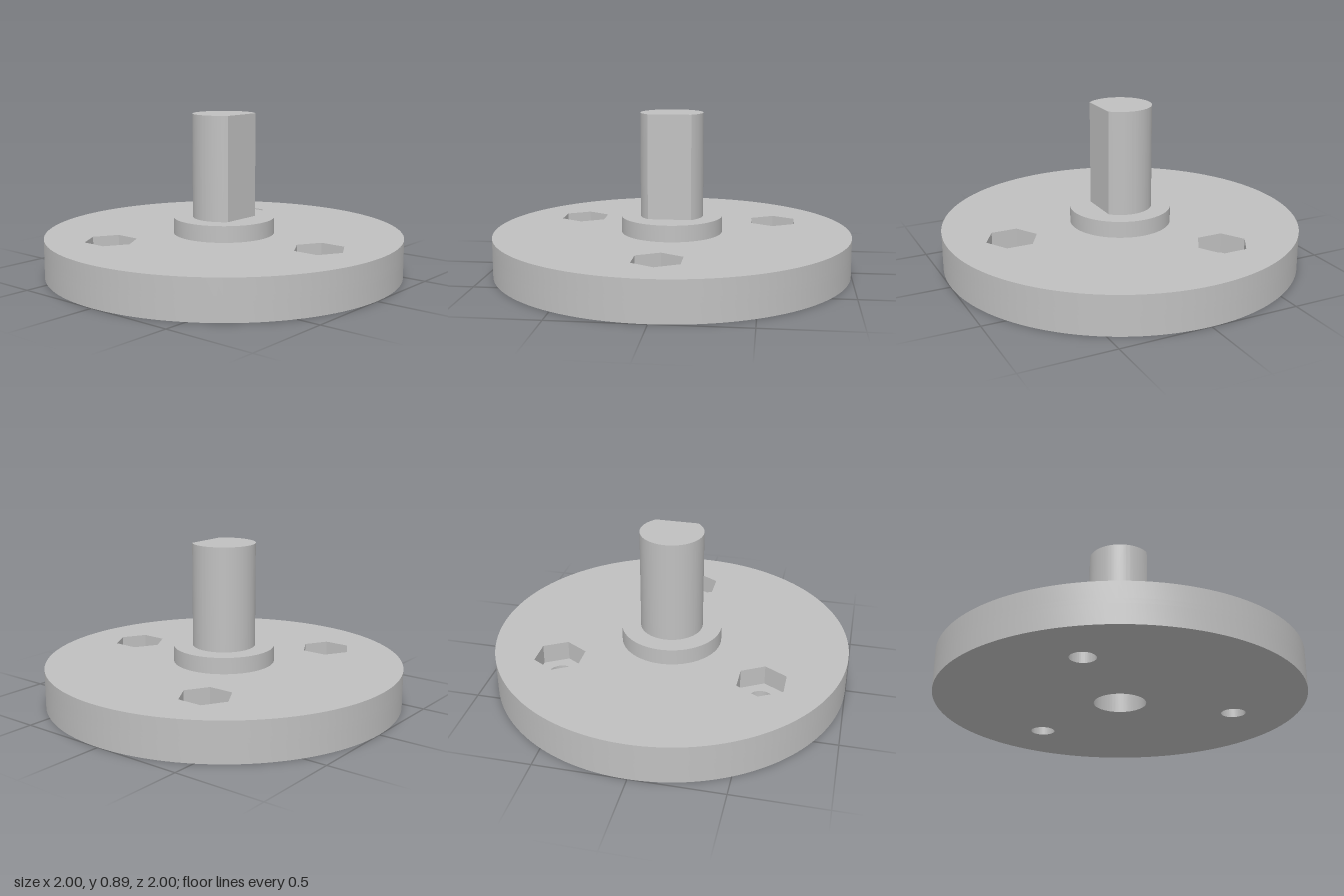
import * as THREE from 'three';
import { toCreasedNormals } from 'three/addons/utils/BufferGeometryUtils.js';

const BOLT_RADIUS = 0.65;   // distance of the bolt holes from the centre
const HEX_FLOOR = 0.105;    // height of the nut pocket floors
const BORE_TOP = 0.13;      // height of the blind centre bore
const BASE_TOP = 0.217;
const COLLAR_TOP = 0.308;
const SHAFT_TOP = 0.887;

const circle = (Type, r, x = 0, y = 0) => new Type().absarc(x, y, r, 0, Math.PI * 2, false);

function hexagon(r, x, y) {
  const points = [];
  for (let i = 0; i < 6; i++) {
    const a = (i * Math.PI) / 3;
    points.push(new THREE.Vector2(x + r * Math.cos(a), y + r * Math.sin(a)));
  }
  return new THREE.Path(points);
}

export function createModel() {
  const model = new THREE.Group();
  model.name = 'flangedShaft';
  const grey = new THREE.MeshStandardMaterial({ color: 0xc0c0c0 });
  grey.name = 'grey';

  // Extrudes a plan outline upwards between two heights
  function slab(name, shape, bottom, top, parent = model) {
    const geometry = new THREE.ExtrudeGeometry(shape, {
      depth: top - bottom, bevelEnabled: false, curveSegments: 72,
    });
    geometry.rotateX(-Math.PI / 2).translate(0, bottom, 0);
    const mesh = new THREE.Mesh(toCreasedNormals(geometry, 0.4), grey);
    mesh.name = name;
    parent.add(mesh);
  }

  // Flange layers: round bolt holes below, hexagonal nut pockets above
  const flange = new THREE.Group();
  flange.name = 'flange';
  model.add(flange);
  const boltCentres = [0, 1, 2].map((i) => {
    const a = (i * Math.PI * 2) / 3;
    return [BOLT_RADIUS * Math.cos(a), BOLT_RADIUS * Math.sin(a)];
  });
  function flangeLayer(name, bottom, top, hex, bore) {
    const shape = circle(THREE.Shape, 1);
    for (const [x, y] of boltCentres) {
      shape.holes.push(hex ? hexagon(0.144, x, y) : circle(THREE.Path, 0.068, x, y));
    }
    if (bore) shape.holes.push(circle(THREE.Path, 0.142));
    slab(name, shape, bottom, top, flange);
  }
  flangeLayer('boltHoleLayer', 0, HEX_FLOOR, false, true);
  flangeLayer('pocketLayer', HEX_FLOOR, BORE_TOP, true, true);
  flangeLayer('topLayer', BORE_TOP, BASE_TOP, true, false);

  // Raised collar around the shaft
  slab('collar', circle(THREE.Shape, 0.282), BASE_TOP, COLLAR_TOP);

  // D-shaped shaft, flat towards +x
  const half = Math.acos(0.128 / 0.175);
  const dShape = new THREE.Shape().absarc(0, 0, 0.175, half, Math.PI * 2 - half, false);
  dShape.closePath();
  slab('shaft', dShape, COLLAR_TOP, SHAFT_TOP);

  return model;
}
